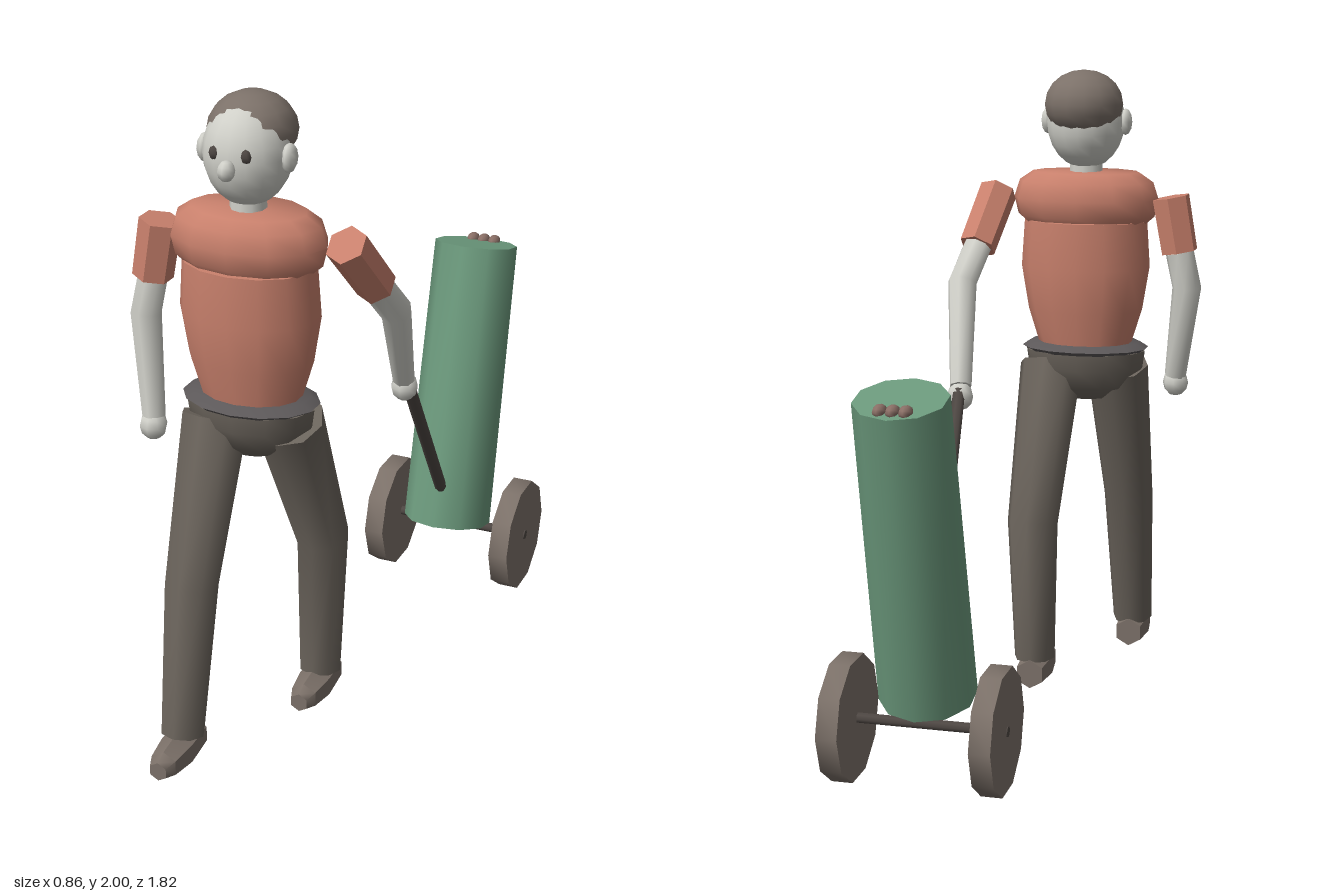
import * as THREE from 'three';
import { toCreasedNormals } from 'three/addons/utils/BufferGeometryUtils.js';

const paint = (name, color) => {
  const m = new THREE.MeshStandardMaterial({ color });
  m.name = name;
  return m;
};

export function createModel() {
  const skin = paint('skin', 0xcfcfc8);
  const shirt = paint('shirt', 0xc8806c);
  const trousers = paint('trousers', 0x6b645c);
  const brown = paint('greyBrown', 0x7c7169);
  const belt = paint('belt', 0x5c5859);
  const dark = paint('dark', 0x4e4743);
  const green = paint('green', 0x6c9a7d);
  const club = paint('clubHeads', 0x8a6f66);

  const model = new THREE.Group();
  model.name = 'walkerWithTrolley';
  const add = (name, geometry, material, pos = [0, 0, 0], parent = model) => {
    const mesh = new THREE.Mesh(geometry, material);
    mesh.name = name;
    mesh.position.set(...pos);
    parent.add(mesh);
    return mesh;
  };
  const group = (name) => {
    const g = new THREE.Group();
    g.name = name;
    model.add(g);
    return g;
  };
  const ball = (rx, ry, rz, w = 16, h = 12) =>
    new THREE.SphereGeometry(1, w, h).scale(rx, ry, rz);

  // Lathe of [radius, y] points listed from the bottom up, flattened in z
  const turned = (points, depth, sides = 12) => toCreasedNormals(
    new THREE.LatheGeometry(points.map(([r, y]) => new THREE.Vector2(r, y)), sides)
      .scale(1, 1, depth), 0.9);

  // Capped limb whose rings follow a path of [x, y, z, radius] joints
  const limb = (joints, sides) => {
    const n = joints.length - 1;
    const pts = joints.map((j) => new THREE.Vector3(j[0], j[1], j[2]));
    const geo = new THREE.CylinderGeometry(1, 1, 1, sides, n);
    const pos = geo.attributes.position;
    const v = new THREE.Vector3();
    const up = new THREE.Vector3(0, 1, 0);
    const turns = pts.map((p, i) => {
      const dir = new THREE.Vector3();
      if (i > 0) dir.add(pts[i - 1].clone().sub(p).normalize());
      if (i < n) dir.add(p.clone().sub(pts[i + 1]).normalize());
      return new THREE.Quaternion().setFromUnitVectors(up, dir.normalize());
    });
    for (let k = 0; k < pos.count; k++) {
      const i = Math.round((0.5 - pos.getY(k)) * n);
      v.set(pos.getX(k), 0, pos.getZ(k)).multiplyScalar(joints[i][3])
        .applyQuaternion(turns[i]).add(pts[i]);
      pos.setXYZ(k, v.x, v.y, v.z);
    }
    return toCreasedNormals(geo, 1.0);
  };

  // Head
  const cx = -0.055;
  const head = group('head');
  add('face', ball(0.126, 0.15, 0.128), skin, [cx, 1.835, 0.468], head);
  add('hair', ball(0.127, 0.107, 0.128, 14, 10), brown, [cx, 1.893, 0.436], head);
  add('nose', ball(0.025, 0.03, 0.03, 8, 6), skin, [cx, 1.82, 0.604], head);
  for (const s of [-1, 1]) {
    add('ear', ball(0.022, 0.042, 0.035, 8, 6), skin, [cx + s * 0.127, 1.835, 0.475], head);
    add('eye', ball(0.017, 0.021, 0.012, 6, 4), dark, [cx + s * 0.047, 1.858, 0.58], head);
  }
  add('neck', new THREE.CylinderGeometry(0.05, 0.055, 0.12, 10), skin, [cx, 1.68, 0.472], head);

  // Body
  const body = group('body');
  add('shoulders', turned([
    [0, 1.5], [0.19, 1.505], [0.225, 1.535], [0.238, 1.59], [0.22, 1.645], [0.175, 1.675], [0, 1.678],
  ], 0.64), shirt, [cx, 0, 0.472], body);
  add('torso', turned([
    [0, 1.11], [0.15, 1.11], [0.187, 1.23], [0.21, 1.37], [0.2, 1.52], [0, 1.53],
  ], 0.74, 14), shirt, [cx, 0, 0.472], body);
  add('belt', turned([
    [0, 1.088], [0.18, 1.088], [0.208, 1.105], [0.18, 1.122], [0, 1.122],
  ], 0.71, 14), belt, [cx, 0, 0.475], body);
  add('hips', turned([
    [0, 0.93], [0.07, 0.935], [0.14, 0.975], [0.19, 1.04], [0.198, 1.095], [0, 1.1],
  ], 0.68, 12), trousers, [cx, 0, 0.475], body);

  // Arms: right hangs, left reaches back to the handle
  const arms = [
    ['rightArm', [-0.333, 1.6, 0.47], [-0.364, 1.425, 0.47], [-0.388, 1.31, 0.475], [-0.345, 1.01, 0.53], [-0.345, 0.985, 0.535]],
    ['leftArm', [0.235, 1.605, 0.465], [0.268, 1.44, 0.325], [0.293, 1.335, 0.235], [0.247, 1.04, 0.05], [0.247, 1.01, 0.043]],
  ];
  for (const [name, shoulder, cuff, elbow, wrist, hand] of arms) {
    const arm = group(name);
    add('sleeve', limb([[...shoulder, 0.062], [...cuff, 0.06]], 6), shirt, undefined, arm);
    add('forearm', limb([[...cuff, 0.046], [...elbow, 0.047], [...wrist, 0.035]], 8), skin, undefined, arm);
    add('hand', ball(0.042, 0.045, 0.042, 8, 6), skin, hand, arm);
  }

  // Legs: right steps forward, left trails
  const legs = [
    ['rightLeg', [-0.155, 1.04, 0.505], [-0.165, 0.56, 0.668], [-0.167, 0.1, 0.75], 0.79],
    ['leftLeg', [0.055, 1.04, 0.455], [0.064, 0.56, 0.24], [0.06, 0.1, 0.252], 0.295],
  ];
  for (const [name, hip, knee, ankle, footZ] of legs) {
    const leg = group(name);
    add('trouserLeg', limb([[...hip, 0.103], [...knee, 0.083], [...ankle, 0.067]], 8), trousers, undefined, leg);
    const shoe = limb([
      [0, 0, 0.122, 0.03], [0, 0, 0.085, 0.045], [0, 0, 0, 0.057], [0, 0, -0.112, 0.048],
    ], 6);
    add('shoe', shoe, brown, [ankle[0], 0.06, footZ], leg);
  }

  // Trolley
  const trolley = group('trolley');
  add('handle', limb([[0.247, 1.03, 0.03, 0.02], [0.182, 0.4, -0.48, 0.02]], 8), dark, undefined, trolley);
  add('bag', limb([[0.175, 1.178, -0.778, 0.136], [0.175, 0.25, -0.56, 0.145]], 10), green, undefined, trolley);
  for (const x of [0.135, 0.172, 0.209])
    add('clubHead', ball(0.02, 0.02, 0.033, 8, 6), club, [x, 1.16, -0.86], trolley);
  const sideways = (r, length, sides) =>
    new THREE.CylinderGeometry(r, r, length, sides).rotateY(Math.PI / 2).rotateZ(Math.PI / 2);
  add('axle', sideways(0.016, 0.52, 8), dark, [0.169, 0.195, -0.65], trolley);
  for (const x of [-0.056, 0.393]) {
    const wheel = toCreasedNormals(new THREE.CylinderGeometry(0.188, 0.188, 0.064, 10)
      .rotateZ(Math.PI / 2), 0.7);
    add('wheel', wheel, brown, [x, 0.194, -0.65], trolley);
  }
  return model;
}
